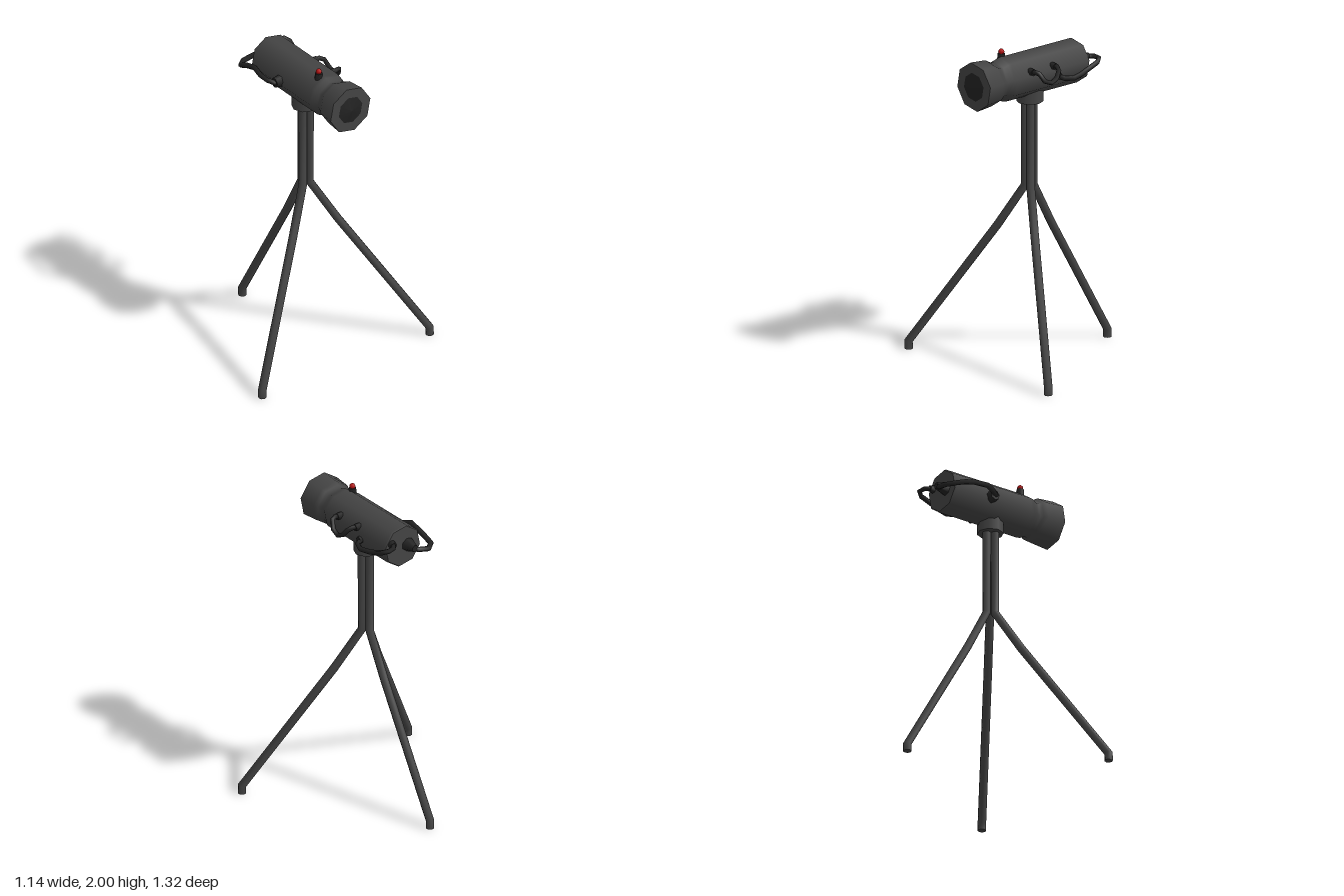
import * as THREE from 'three';

// Straight-segment path with mitred corners, usable by TubeGeometry.
class Polyline extends THREE.Curve {
  constructor(points) {
    super();
    this.points = points.map(p => new THREE.Vector3(...p));
  }
  getPoint(t, target = new THREE.Vector3()) {
    const n = this.points.length - 1;
    const i = Math.min(Math.floor(t * n + 1e-6), n - 1);
    return target.lerpVectors(this.points[i], this.points[i + 1], t * n - i);
  }
  getPointAt(t, target) { return this.getPoint(t, target); }
  getTangentAt(t, target = new THREE.Vector3()) {
    const p = this.points, n = p.length - 1, i = Math.round(t * n);
    target.set(0, 0, 0);
    if (i > 0) target.add(p[i].clone().sub(p[i - 1]).normalize());
    if (i < n) target.add(p[i + 1].clone().sub(p[i]).normalize());
    return target.normalize();
  }
}

export function createModel() {
  const model = new THREE.Group();
  const bodyGrey = new THREE.MeshStandardMaterial({ color: 0x444444 });
  const cableBlack = new THREE.MeshStandardMaterial({ color: 0x222222 });
  const buttonRed = new THREE.MeshStandardMaterial({ color: 0xb01010 });
  bodyGrey.name = 'bodyGrey';
  cableBlack.name = 'cableBlack';
  buttonRed.name = 'buttonRed';

  const add = (name, geometry, material, x = 0, y = 0, z = 0) => {
    const mesh = new THREE.Mesh(geometry, material);
    mesh.name = name;
    mesh.position.set(x, y, z);
    model.add(mesh);
    return mesh;
  };
  const tube = (name, points, radius, sides, material) =>
    add(name, new THREE.TubeGeometry(new Polyline(points), points.length - 1, radius, sides), material);

  // Eight-sided housing turned around the x axis; each profile is [radius, x]
  const turned = (name, profile, material) => {
    const points = profile.map(p => new THREE.Vector2(...p));
    const mesh = add(name, new THREE.LatheGeometry(points, 8, Math.PI / 16), material, 0, 1.82, -0.004);
    mesh.rotation.z = -Math.PI / 2;
  };
  turned('rearCap', [[0, -0.28], [0.132, -0.28]], bodyGrey);
  turned('housing', [[0.132, -0.28], [0.138, -0.27], [0.138, 0.31], [0.134, 0.335], [0.118, 0.365],
    [0.118, 0.385], [0.128, 0.405], [0.143, 0.43], [0.153, 0.548]], bodyGrey);
  turned('lensRim', [[0.153, 0.548], [0.09, 0.549]], bodyGrey);
  turned('lens', [[0.09, 0.549], [0, 0.566]], cableBlack);

  // Mount under the housing
  add('mount', new THREE.CylinderGeometry(0.082, 0.082, 0.1, 8), bodyGrey, 0.087, 1.684, 0);

  // Three legs bundled at the top and spread below
  const legs = [
    { top: [0.058, 0], foot: [-0.547, 0] },
    { top: [0.103, 0.025], foot: [0.507, 0.632] },
    { top: [0.103, -0.025], foot: [0.507, -0.632] },
  ];
  for (const { top, foot } of legs) {
    const knee = top.map((v, i) => v + (foot[i] - v) * 0.236);
    tube('leg', [[top[0], 1.66, top[1]], [top[0], 1.1, top[1]], [knee[0], 0.833, knee[1]],
      [foot[0], 0.05, foot[1]], [foot[0], 0, foot[1]]], 0.026, 8, bodyGrey);
    add('footPad', new THREE.CylinderGeometry(0.026, 0.026, 0.006, 8), bodyGrey, foot[0], 0.003, foot[1]);
  }

  // Record button on top
  add('buttonBase', new THREE.CylinderGeometry(0.023, 0.026, 0.05, 8), cableBlack, 0.284, 1.946, 0.04);
  add('button', new THREE.SphereGeometry(0.019, 8, 6), buttonRed, 0.284, 1.981, 0.04);

  // Cables
  tube('frontCable', [[0, 1.81, 0.14], [0.005, 1.812, 0.165], [-0.04, 1.82, 0.19], [-0.087, 1.835, 0.203],
    [-0.175, 1.84, 0.182], [-0.25, 1.82, 0.182], [-0.313, 1.795, 0.185], [-0.355, 1.79, 0.135],
    [-0.35, 1.805, 0.06], [-0.32, 1.82, 0.035], [-0.27, 1.82, 0.035]], 0.017, 6, cableBlack);
  tube('rearCable', [[-0.27, 1.86, -0.09], [-0.3, 1.86, -0.092], [-0.33, 1.86, -0.115], [-0.337, 1.855, -0.155],
    [-0.305, 1.84, -0.178], [-0.24, 1.81, -0.17], [-0.175, 1.79, -0.175], [-0.1, 1.785, -0.192],
    [-0.045, 1.79, -0.17], [-0.025, 1.8, -0.12]], 0.016, 6, cableBlack);
  tube('sideLoop', [[0.01, 1.87, -0.11], [0.012, 1.875, -0.165], [0.025, 1.86, -0.195], [0.055, 1.82, -0.207],
    [0.1, 1.8, -0.21], [0.15, 1.82, -0.207], [0.18, 1.87, -0.19], [0.19, 1.875, -0.165],
    [0.19, 1.87, -0.11]], 0.015, 6, cableBlack);

  // Cable plugs on the side, the rear and the far side
  const sidePlug = add('sidePlug', new THREE.CylinderGeometry(0.032, 0.038, 0.045, 7), cableBlack, 0, 1.81, 0.142);
  sidePlug.rotation.x = Math.PI / 2;
  const rearPlug = add('rearPlug', new THREE.CylinderGeometry(0.045, 0.022, 0.075, 7), cableBlack, -0.315, 1.82, 0.035);
  rearPlug.rotation.z = -Math.PI / 2;
  const upperPlug = add('upperRearPlug', new THREE.CylinderGeometry(0.026, 0.02, 0.03, 7), cableBlack, -0.293, 1.86, -0.09);
  upperPlug.rotation.z = -Math.PI / 2;
  for (const [x, y] of [[-0.025, 1.8], [0.01, 1.87], [0.19, 1.87]]) {
    const socket = add('socket', new THREE.CylinderGeometry(0.022, 0.022, 0.04, 7), cableBlack, x, y, -0.13);
    socket.rotation.x = Math.PI / 2;
  }

  return model;
}
